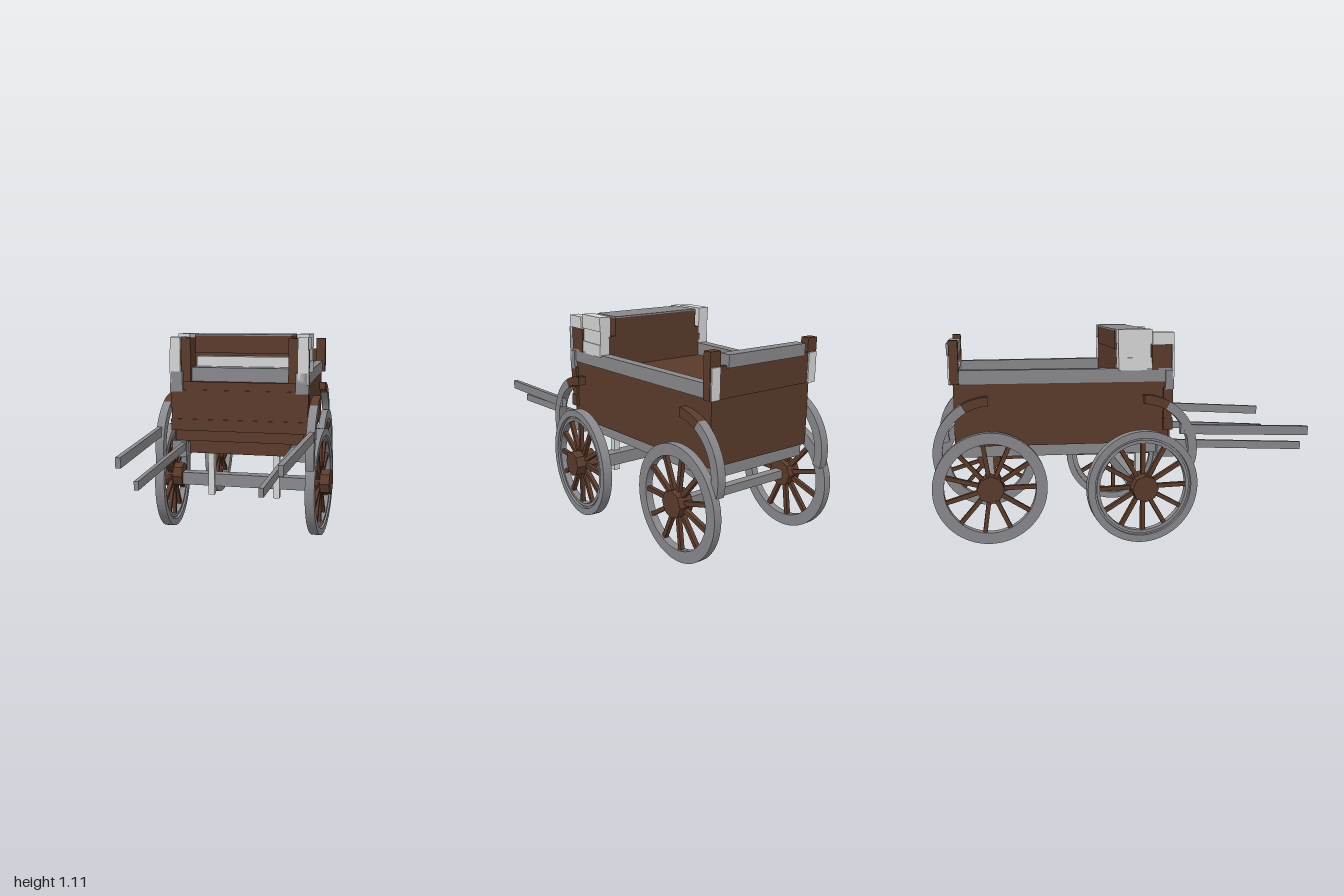
import * as THREE from 'three';

export function createModel() {
  const root = new THREE.Group();
  root.name = 'wagon';
  const mat = (name, color) => Object.assign(new THREE.MeshStandardMaterial({ color }), { name });
  const brown = mat('brown wood', 0x5a3a2b);
  const grey = mat('grey paint', 0x88888c);
  const light = mat('light grey paint', 0xd4d4d4);

  const add = (name, geo, material, parent = root) => {
    const m = new THREE.Mesh(geo, material);
    m.name = name;
    parent.add(m);
    return m;
  };
  // Box given by its limits on each axis
  const box = (name, material, x0, x1, y0, y1, z0, z1, parent) =>
    add(name, new THREE.BoxGeometry(x1 - x0, y1 - y0, z1 - z0)
      .translate((x0 + x1) / 2, (y0 + y1) / 2, (z0 + z1) / 2), material, parent);
  // Mirrored box: x limits are for the +x side
  const pair = (name, material, x0, x1, ...rest) => {
    box(name, material, x0, x1, ...rest);
    box(name, material, -x1, -x0, ...rest);
  };
  // Upright prism over a plan outline of [x, z] points
  const prism = (name, material, pts, y0, y1) => {
    const shape = new THREE.Shape(pts.map(([x, z]) => new THREE.Vector2(x, -z)));
    const geo = new THREE.ExtrudeGeometry(shape, { depth: y1 - y0, bevelEnabled: false });
    return add(name, geo.rotateX(-Math.PI / 2).translate(0, y0, 0), material);
  };
  // Square bar from point a to point b
  const bar = (name, material, a, b, w, h, parent) => {
    const p = new THREE.Vector3(...a), q = new THREE.Vector3(...b);
    const m = add(name, new THREE.BoxGeometry(w, h, p.distanceTo(q)), material, parent);
    m.position.copy(p).add(q).multiplyScalar(0.5);
    m.quaternion.setFromUnitVectors(new THREE.Vector3(0, 0, 1), q.sub(p).normalize());
    return m;
  };
  // Flat ring or arc standing in the yz plane, angles from +z toward +y
  const ring = (r0, r1, width, a0 = 0, a1 = Math.PI * 2) => {
    const shape = new THREE.Shape();
    shape.absarc(0, 0, r1, a0, a1, false);
    if (a1 - a0 > 6.28) {
      const hole = new THREE.Path();
      hole.absarc(0, 0, r0, 0, Math.PI * 2, true);
      shape.holes.push(hole);
    } else shape.absarc(0, 0, r0, a1, a0, true);
    return new THREE.ExtrudeGeometry(shape, { depth: width, bevelEnabled: false, curveSegments: 32 })
      .translate(0, 0, -width / 2).rotateY(-Math.PI / 2);
  };

  // Tapered body: solid load bed over a grey underside
  prism('body', brown, [[-0.365, 0.22], [0.365, 0.22], [0.31, -0.88], [-0.31, -0.88]], 0.52, 0.84);
  prism('underside', grey, [[-0.34, 0.2], [0.34, 0.2], [0.29, -0.87], [-0.29, -0.87]], 0.46, 0.52);
  for (const s of [-1, 1])
    prism('sideRail', grey, [[s * 0.31, 0.245], [s * 0.372, 0.245], [s * 0.316, -0.88], [s * 0.27, -0.88]], 0.84, 0.91);
  box('rearRail', grey, -0.27, 0.27, 0.84, 0.905, -0.875, -0.85);

  // Front planks: half width, bottom, top, front face z
  [[0.28, 0.46, 0.53, 0.215], [0.355, 0.53, 0.587, 0.23], [0.378, 0.587, 0.65, 0.24],
    [0.375, 0.65, 0.71, 0.235], [0.378, 0.71, 0.81, 0.24], [0.312, 0.81, 0.85, 0.235]]
    .forEach(([w, y0, y1, z]) => box('frontPlank', brown, -w, w, y0, y1, 0.19, z));

  // Driver's seat: thick top board, slats and backing
  box('seatBoard', brown, -0.27, 0.27, 1.005, 1.1, -0.05, 0.13);
  box('seatTop', grey, -0.27, 0.27, 1.1, 1.108, -0.05, 0.13);
  box('seatBacking', brown, -0.31, 0.31, 0.84, 1.005, -0.045, 0.04);
  box('upperSlat', light, -0.27, 0.27, 0.93, 0.985, 0.04, 0.1);
  box('lowerSlat', grey, -0.27, 0.27, 0.85, 0.93, 0.04, 0.2);
  box('seatStep', brown, -0.31, 0.31, 0.84, 0.855, 0.1, 0.235);
  pair('seatPost', brown, 0.268, 0.325, 0.84, 1.09, 0.13, 0.225);
  pair('seatPostSide', brown, 0.32, 0.368, 0.9, 1.03, 0.13, 0.235);
  pair('seatPostCap', light, 0.32, 0.375, 1.03, 1.095, 0.13, 0.245);
  pair('seatPostFace', light, 0.32, 0.38, 0.85, 1.03, 0.235, 0.245);
  pair('seatPostFoot', grey, 0.31, 0.38, 0.8, 0.9, 0.2, 0.244);
  pair('armBlockLower', light, 0.3, 0.365, 0.9, 0.965, -0.045, 0.13);
  pair('armBlockMiddle', light, 0.3, 0.36, 0.965, 1.035, -0.045, 0.125);
  pair('armBlockUpper', light, 0.3, 0.365, 1.035, 1.11, -0.047, 0.13);

  // Tailboard with corner posts and a top beam
  box('tailboard', brown, -0.28, 0.28, 0.84, 0.99, -0.895, -0.875);
  box('tailBeam', grey, -0.24, 0.24, 0.98, 1.04, -0.91, -0.85);
  pair('rearPost', brown, 0.275, 0.335, 0.84, 1.06, -0.895, -0.85);
  pair('rearPostFace', light, 0.28, 0.33, 0.84, 0.99, -0.902, -0.895);

  // Axles and front props
  box('frontAxle', grey, -0.38, 0.38, 0.25, 0.32, 0.035, 0.105);
  box('rearAxle', grey, -0.35, 0.35, 0.285, 0.33, -0.73, -0.685);
  pair('frontProp', light, 0.17, 0.205, 0.2, 0.47, 0.08, 0.115);

  // Wheels: hub, spokes and rims around the x axis
  const makeWheel = (name, spokes, rims, hubLength) => {
    const wheel = new THREE.Group();
    wheel.name = name;
    rims.forEach(([r0, r1, w]) => add('rim', ring(r0, r1, w), grey, wheel));
    const hub = new THREE.CylinderGeometry(0.07, 0.07, hubLength, 8).rotateZ(Math.PI / 2).toNonIndexed();
    hub.computeVertexNormals();
    add('hub', hub, brown, wheel);
    for (let i = 0; i < spokes; i++) {
      const a = (i / spokes) * Math.PI * 2, c = Math.cos(a), n = Math.sin(a);
      bar('spoke', brown, [0, n * 0.05, c * 0.05], [0, n * 0.24, c * 0.24], 0.022, 0.022, wheel);
    }
    root.add(wheel);
    return wheel;
  };

  const deg = Math.PI / 180;
  for (const s of [-1, 1]) {
    const front = makeWheel('frontWheel', 12, [[0.258, 0.295, 0.05], [0.232, 0.248, 0.035], [0.24, 0.262, 0.02]], 0.125);
    front.position.set(s * 0.425, 0.3, 0.07);
    front.rotation.y = -s * 0.06;
    const rear = makeWheel('rearWheel', 11, [[0.232, 0.29, 0.04]], 0.08);
    rear.position.set(s * 0.36, 0.31, -0.71);

    // Curved guards above the wheels, brown where they meet the body
    const guards = [['frontGuard', 0.405, 0.07, -15, 60, 60, 88], ['rearGuard', 0.335, -0.7, 120, 195, 92, 120]];
    guards.forEach(([name, x, z, a0, a1, b0, b1]) => {
      add(name, ring(0.243, 0.29, 0.045, a0 * deg, a1 * deg), grey).position.set(s * x, 0.49, z);
      add(name + 'End', ring(0.243, 0.29, 0.045, b0 * deg, b1 * deg), brown).position.set(s * x, 0.49, z);
    });

    // Pulling shafts and their brackets
    bar('outerShaft', grey, [s * 0.415, 0.595, 0.27], [s * 0.37, 0.555, 1], 0.025, 0.05);
    bar('innerShaft', grey, [s * 0.305, 0.5, 0.24], [s * 0.285, 0.455, 1], 0.022, 0.042);
    box('shaftBracket', grey, s * 0.33 - 0.04, s * 0.33 + 0.04, 0.44, 0.53, 0.16, 0.25);
  }
  return root;
}
